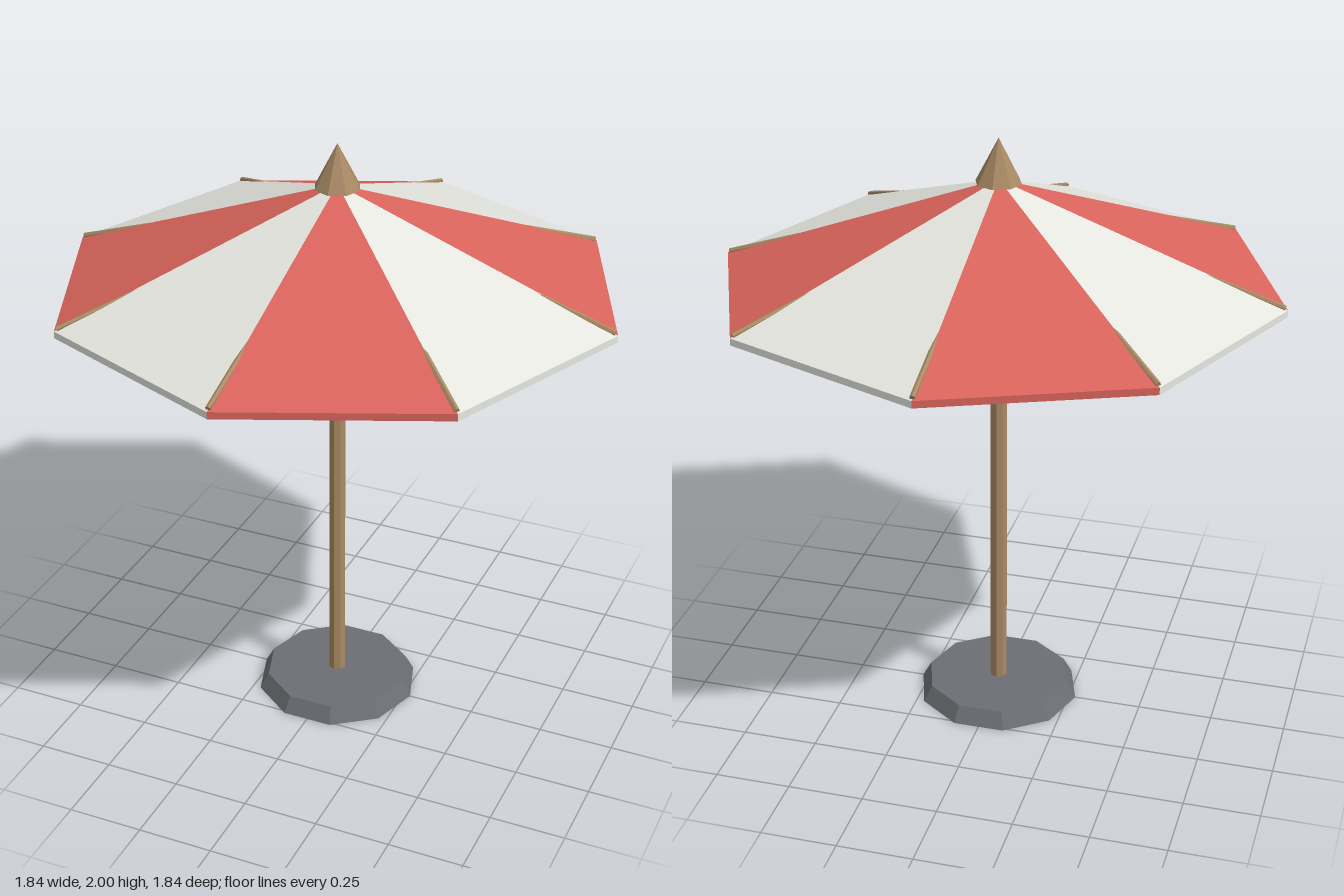
import * as THREE from 'three';

const mat = (color, side = THREE.FrontSide) =>
  new THREE.MeshStandardMaterial({ color, side, flatShading: true });

export function createModel() {
  const group = new THREE.Group();
  const wood = mat(0xa98a64);
  const stone = mat(0x6c6e74);
  const red = mat(0xd9645c, THREE.DoubleSide);
  const cream = mat(0xe6e6e0, THREE.DoubleSide);

  const add = (name, geometry, material) => {
    const mesh = new THREE.Mesh(geometry, material);
    mesh.name = name;
    group.add(mesh);
    return mesh;
  };

  // ten-sided foot with sloped sides
  const base = add('base', new THREE.CylinderGeometry(0.245, 0.275, 0.055, 10), stone);
  base.position.y = 0.0275;
  base.rotation.y = Math.PI / 2;

  // pole
  add('pole', new THREE.CylinderGeometry(0.027, 0.029, 1.81, 8), wood).position.y = 0.95;

  // pointed cap
  add('finial', new THREE.ConeGeometry(0.075, 0.145, 8), wood).position.y = 1.9275;

  // canopy: eight alternating panels, each a sloped triangle with a short valance
  const sides = 8, step = (Math.PI * 2) / sides;
  const rim = 0.92, apexY = 1.865, rimY = 1.527, hemY = 1.504;
  const at = (r, y, a) => [r * Math.sin(a), y, r * Math.cos(a)];
  for (let i = 0; i < sides; i++) {
    const a = i * step, b = a + step;
    const apex = [0, apexY, 0];
    const p = at(rim, rimY, a), q = at(rim, rimY, b);
    const ph = at(rim, hemY, a), qh = at(rim, hemY, b);
    const panel = new THREE.BufferGeometry();
    panel.setAttribute('position', new THREE.Float32BufferAttribute(
      [apex, p, q, p, ph, qh, p, qh, q].flat(), 3));
    panel.computeVertexNormals();
    add('canopyPanel' + (i + 1), panel, i % 2 ? cream : red);

    // rib under the panel seam, breaking through the cloth near the rim
    const from = new THREE.Vector3(...at(0.02, 1.815, a));
    const to = new THREE.Vector3(...at(0.912, 1.533, a));
    const dir = to.clone().sub(from);
    const rib = add('rib' + (i + 1), new THREE.CylinderGeometry(0.009, 0.012, dir.length(), 6), wood);
    rib.position.copy(from).add(to).multiplyScalar(0.5);
    rib.quaternion.setFromUnitVectors(new THREE.Vector3(0, 1, 0), dir.normalize());
  }

  return group;
}
